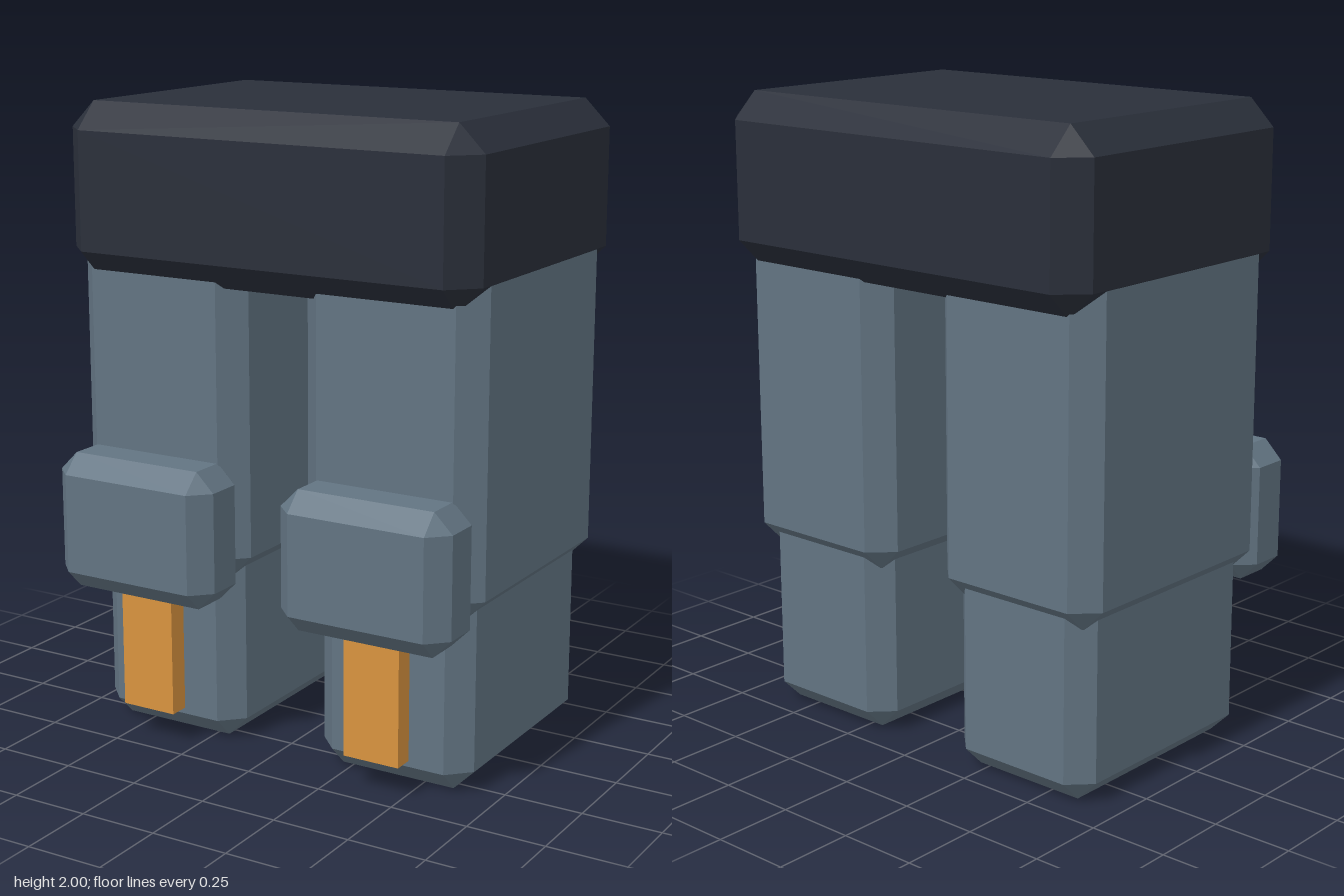
import * as THREE from 'three';
import { ConvexGeometry } from 'three/addons/geometries/ConvexGeometry.js';

const material = (color) => new THREE.MeshStandardMaterial({ color, flatShading: true });

// Box with every edge bevelled by c; x, y, z are [min, max] ranges
function bevelledBox(name, x, y, z, c, mat) {
  const points = [];
  const inset = (range, i, d) => range[i] + (i ? -d : d);
  for (const i of [0, 1]) for (const j of [0, 1]) for (const k of [0, 1]) {
    points.push(
      new THREE.Vector3(x[i], inset(y, j, c), inset(z, k, c)),
      new THREE.Vector3(inset(x, i, c), y[j], inset(z, k, c)),
      new THREE.Vector3(inset(x, i, c), inset(y, j, c), z[k]));
  }
  const mesh = new THREE.Mesh(new ConvexGeometry(points), mat);
  mesh.name = name;
  return mesh;
}

export function createModel() {
  const model = new THREE.Group();
  model.name = 'armouredLegs';
  const legMat = material(0x627482);
  const hipMat = material(0x2a2f3a);
  const stripeMat = material(0xd9943f);

  // Hip block
  model.add(bevelledBox('hips', [-0.706, 0.706], [1.465, 2], [-0.555, 0.45], 0.083, hipMat));

  // Two matching legs
  for (const [side, cx] of [['left', 0.404], ['right', -0.404]]) {
    const leg = new THREE.Group();
    leg.name = side + 'Leg';
    leg.position.x = cx;
    leg.add(
      bevelledBox('thigh', [-0.3, 0.3], [0.545, 1.64], [-0.482, 0.387], 0.072, legMat),
      bevelledBox('shin', [-0.26, 0.26], [0, 0.7], [-0.45, 0.355], 0.068, legMat),
      bevelledBox('kneePad', [-0.285, 0.285], [0.49, 0.925], [0.32, 0.555], 0.06, legMat));

    // Stripe standing off the front of the shin
    const stripe = new THREE.Mesh(new THREE.BoxGeometry(0.187, 0.435, 0.065), stripeMat);
    stripe.name = 'shinStripe';
    stripe.position.set(0, 0.3225, 0.4225);
    leg.add(stripe);
    model.add(leg);
  }
  return model;
}
